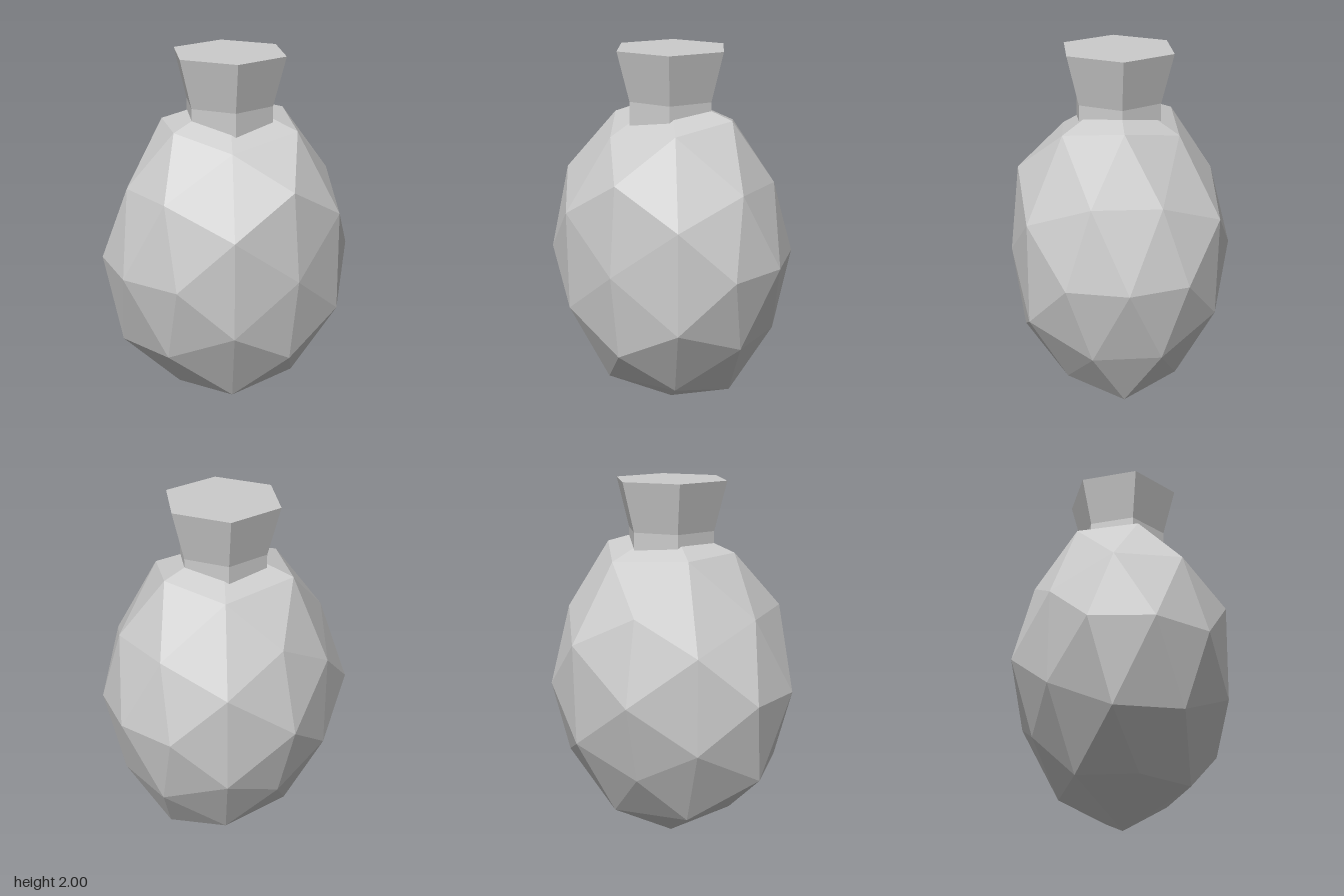
import * as THREE from 'three';

// Irregular radius of each facet corner, grouped by direction family;
// within a family the index is (x>0) + 2*(y>0) + 4*(z>0)
const RADII = {
  '10,0,0': [0.965, 0.93],
  '0,10,0': [1, 1, 0.96],
  '0,0,10': [0.976, 1, 1, 1, 0.929],
  '5,9,0': [0.92, 0.995, 0.95, 0.98],
  '0,5,9': [0.91, 1, 0.935, 1, 0.975, 1, 1],
  '9,0,5': [1, 0.945, 1, 1, 0.945, 0.955],
  '8,5,3': [1, 0.93, 0.925, 0.91, 0.94, 0.93, 0.955, 0.93],
  '5,3,8': [0.93, 0.96, 0.93, 0.98, 0.95, 0.985, 0.96, 0.98],
  '3,8,5': [0.95, 0.955, 0.985, 0.945, 0.97, 0.95, 0.895, 0.967],
};

// Faceted egg: a subdivided icosahedron, stretched and roughened
function bodyGeometry() {
  const geo = new THREE.IcosahedronGeometry(1, 1);
  const pos = geo.attributes.position;
  const v = new THREE.Vector3();
  const size = new THREE.Vector3(0.72, 0.9, 0.63);
  const on = (n) => (n > 1e-4 ? 1 : 0);
  for (let i = 0; i < pos.count; i++) {
    v.fromBufferAttribute(pos, i);
    const key = v.toArray().map((n) => Math.round(Math.abs(n) * 10 + 1e-6)).join(',');
    const r = RADII[key]?.[on(v.x) + 2 * on(v.y) + 4 * on(v.z)] ?? 0.95;
    v.multiply(size).multiplyScalar(r);
    pos.setXYZ(i, v.x, v.y, v.z);
  }
  geo.computeVertexNormals();
  return geo;
}

export function createModel() {
  const group = new THREE.Group();
  group.name = 'flask';
  const stone = new THREE.MeshStandardMaterial({ color: 0xcccccc });
  stone.name = 'lightGrey';
  stone.flatShading = true;

  const add = (name, geo, y) => {
    const mesh = new THREE.Mesh(geo, stone);
    mesh.name = name;
    mesh.position.set(0.01, y, 0.015);
    group.add(mesh);
  };
  // Six-sided section with corners on the x axis
  const hex = (top, bottom, height, open) =>
    new THREE.CylinderGeometry(top, bottom, height, 6, 1, open, Math.PI / 6);

  add('body', bodyGeometry(), 0.9);
  add('neck', hex(0.245, 0.245, 0.185, true), 1.6425);
  add('stopper', hex(0.315, 0.245, 0.265, false), 1.8675);
  return group;
}
